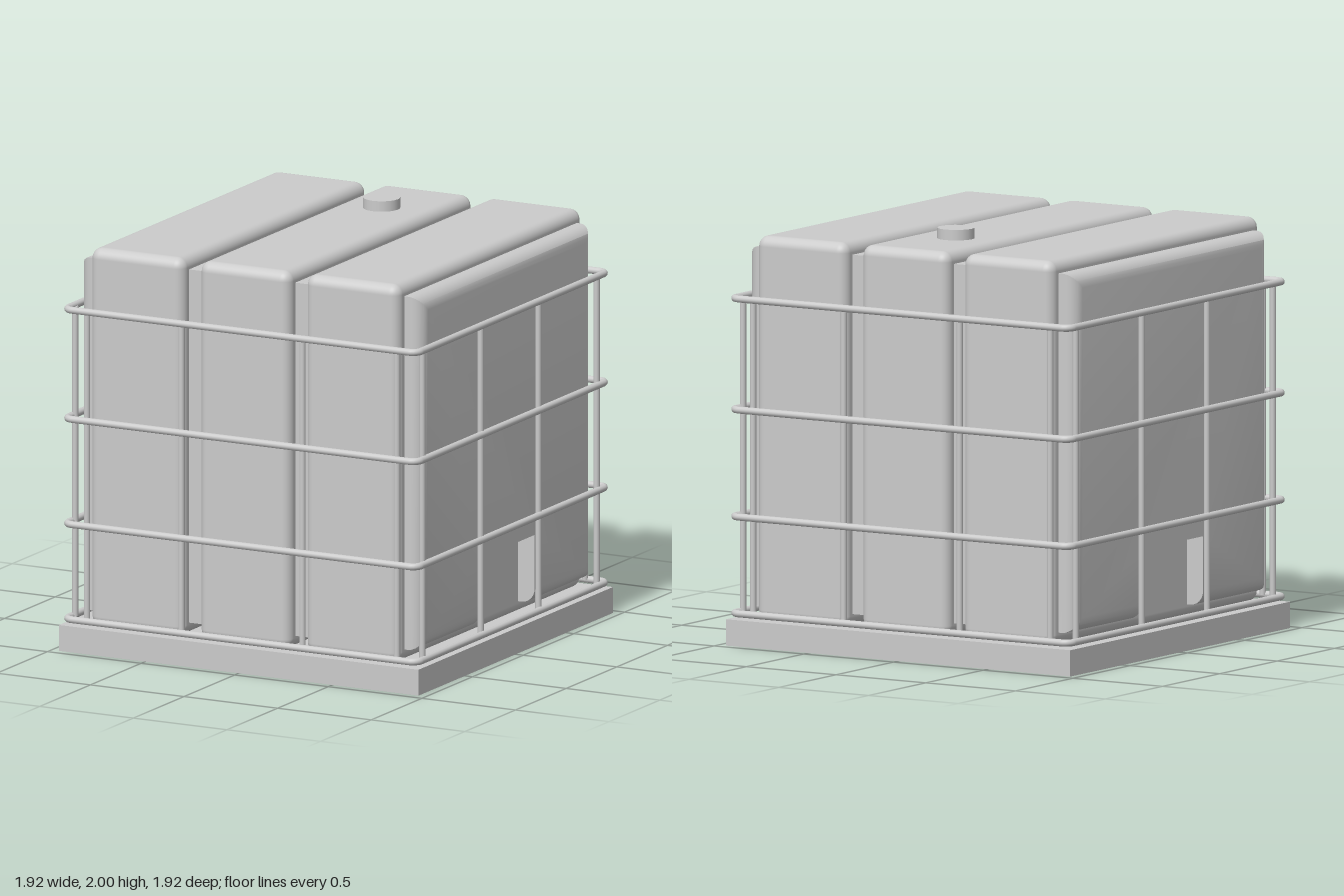
import * as THREE from 'three';
import { mergeGeometries, toCreasedNormals } from 'three/addons/utils/BufferGeometryUtils.js';
import { RoundedBoxGeometry } from 'three/addons/geometries/RoundedBoxGeometry.js';

const material = new THREE.MeshStandardMaterial({ color: 0xcccccc });

function add(parent, name, geometry, x = 0, y = 0, z = 0) {
  const mesh = new THREE.Mesh(geometry, material);
  mesh.name = name;
  mesh.position.set(x, y, z);
  parent.add(mesh);
  return mesh;
}

// Inner tank: side profile with a notch for the outlet, rounded towards both sides
function tankCore() {
  const zEnd = 0.85, bottom = 0.185, top = 1.89, notchZ = 0.27, notchTop = 0.515;
  const halfWidth = 0.915, round = 0.07;
  const shape = new THREE.Shape([
    [-zEnd, bottom], [-notchZ, bottom], [-notchZ, notchTop], [notchZ, notchTop],
    [notchZ, bottom], [zEnd, bottom], [zEnd, top], [-zEnd, top],
  ].map(([z, y]) => new THREE.Vector2(z, y)));
  const depth = 2 * (halfWidth - round);
  const geometry = new THREE.ExtrudeGeometry(shape, {
    depth, bevelEnabled: true, bevelSize: round, bevelThickness: round,
    bevelOffset: -round, bevelSegments: 6,
  });
  // Keep the notch walls straight instead of rounded
  const p = geometry.attributes.position;
  for (let i = 0; i < p.count; i++) {
    if (Math.abs(p.getX(i)) < 0.5 && p.getY(i) < 1) {
      p.setX(i, Math.sign(p.getX(i)) * notchZ);
      if (p.getY(i) > 0.4) p.setY(i, notchTop);
    }
  }
  geometry.translate(0, 0, -depth / 2);
  geometry.rotateY(-Math.PI / 2);
  return toCreasedNormals(geometry, 0.6);
}

// Horizontal hoop of the cage: four straight tubes joined by quarter bends
function hoop(half, bend, radius) {
  const parts = [];
  const inner = half - bend;
  for (let i = 0; i < 4; i++) {
    const angle = i * Math.PI / 2;
    const side = new THREE.CylinderGeometry(radius, radius, 2 * inner, 12, 1, true);
    side.rotateZ(Math.PI / 2).translate(0, 0, half).rotateY(angle);
    const corner = new THREE.TorusGeometry(bend, radius, 12, 6, Math.PI / 2);
    corner.rotateX(Math.PI / 2).translate(inner, 0, inner).rotateY(angle);
    parts.push(side, corner);
  }
  return mergeGeometries(parts);
}

export function createModel() {
  const model = new THREE.Group();
  model.name = 'cagedTank';

  // Pallet
  add(model, 'pallet', new THREE.BoxGeometry(1.92, 0.125, 1.92), 0, 0.0625, 0);

  // Tank with three broad raised bands
  const tank = new THREE.Group();
  tank.name = 'tank';
  model.add(tank);
  add(tank, 'tankCore', tankCore());
  for (const [x, width] of [[-0.575, 0.5], [0, 0.485], [0.575, 0.5]]) {
    add(tank, 'tankBand', new RoundedBoxGeometry(width, 1.825, 1.83, 5, 0.05), x, 1.0375, 0);
  }
  add(tank, 'fillerCap', new THREE.CylinderGeometry(0.088, 0.088, 0.07, 20), -0.01, 1.965, -0.47);

  // Tubular cage
  const cage = new THREE.Group();
  cage.name = 'cage';
  model.add(cage);
  const hoopGeometry = hoop(0.94, 0.04, 0.017);
  for (const y of [0.153, 0.612, 1.12, 1.647]) add(cage, 'cageHoop', hoopGeometry, 0, y, 0);

  const barGeometry = new THREE.CylinderGeometry(0.015, 0.015, 1.494, 12);
  for (const side of [-1, 1]) {
    for (const x of [-0.828, -0.323, 0.323, 0.828]) add(cage, 'cageBar', barGeometry, x, 0.9, side * 0.927);
    for (const z of [-0.86, -0.285, 0.285, 0.86]) add(cage, 'cageBar', barGeometry, side * 0.927, 0.9, z);
  }
  return model;
}
